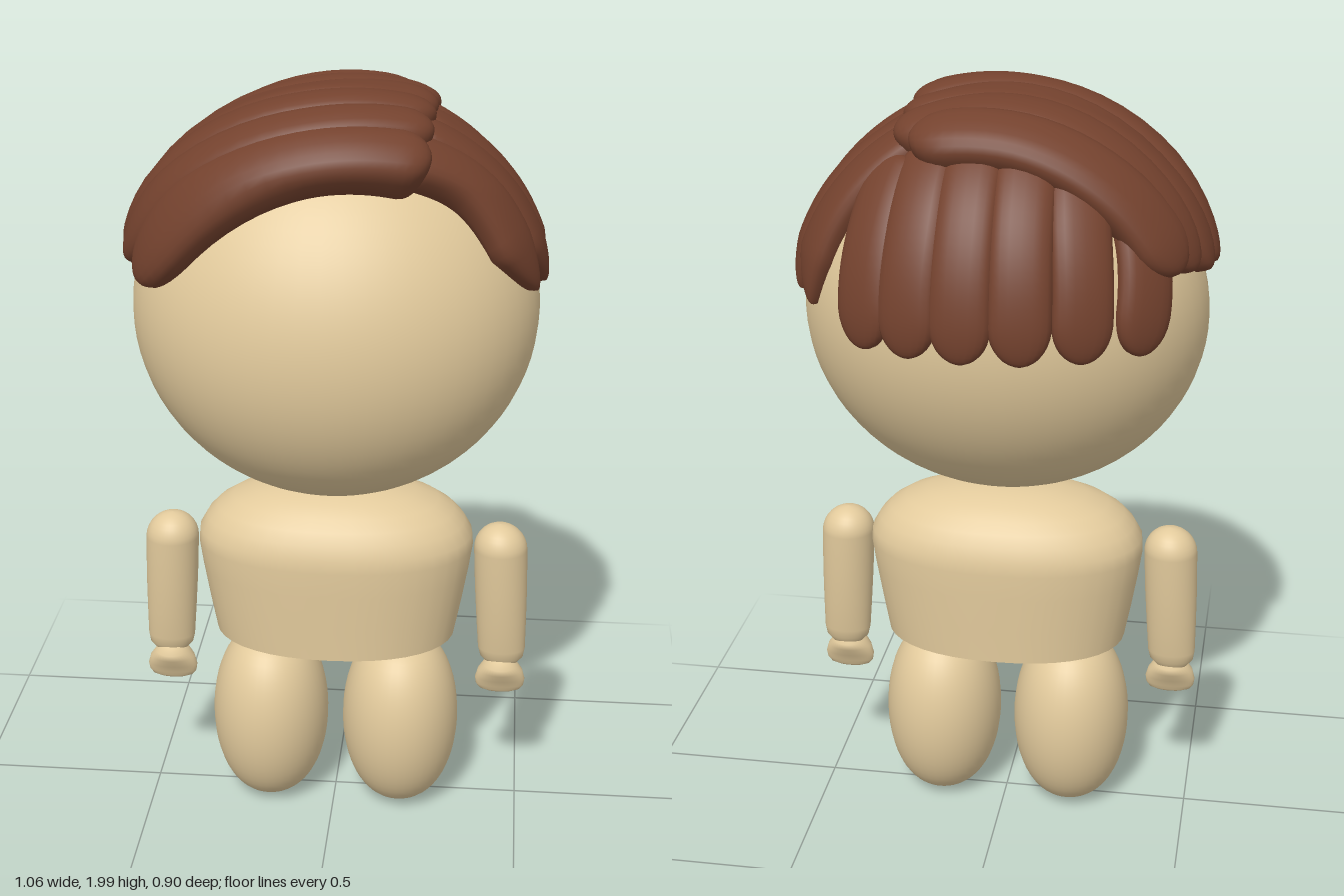
import * as THREE from 'three';

const skin = new THREE.MeshStandardMaterial({ color: 0xe2ca9c });
const brown = new THREE.MeshStandardMaterial({ color: 0x74422e });
const HEAD = { y: 1.43, rx: 0.51, ry: 0.48, rz: 0.435, lean: 0.08 };

// Closed-around surface from rows of points; point(i, angle) returns a Vector3.
function loft(rows, sides, point) {
  const pos = [], index = [];
  for (let i = 0; i < rows; i++) {
    for (let j = 0; j < sides; j++) pos.push(...point(i, (j / sides) * Math.PI * 2).toArray());
  }
  for (let i = 0; i < rows - 1; i++) {
    for (let j = 0; j < sides; j++) {
      const k = (j + 1) % sides;
      const a = i * sides + j, b = i * sides + k, c = a + sides, d = b + sides;
      index.push(a, b, c, b, d, c);
    }
  }
  const g = new THREE.BufferGeometry();
  g.setAttribute('position', new THREE.Float32BufferAttribute(pos, 3));
  g.setIndex(index);
  g.computeVertexNormals();
  return g;
}

// Body part from oval rings [y, rx, rz], listed top to bottom; pow < 1 squares the ovals.
const bend = (v, p) => Math.sign(v) * Math.abs(v) ** p;
function rings(list, pow = 1) {
  return loft(list.length, 40, (i, a) => {
    const [y, rx, rz] = list[i];
    return new THREE.Vector3(rx * bend(Math.cos(a), pow), y, rz * bend(Math.sin(a), pow));
  });
}

function add(parent, name, geometry, material, x = 0, y = 0, z = 0) {
  const m = new THREE.Mesh(geometry, material);
  m.name = name;
  m.position.set(x, y, z);
  parent.add(m);
  return m;
}

// Points on the head seen from above, from the side and from behind (head centre at origin).
const rest = (a, b) => Math.sqrt(Math.max(0.02, 1 - a * a - b * b));
const top = (x, z) => new THREE.Vector3(x, HEAD.ry * rest(x / HEAD.rx, (z + 0.035) / HEAD.rz), z + 0.035);
const side = (s, y, z) => new THREE.Vector3(
  s * HEAD.rx * rest((y - HEAD.y) / HEAD.ry, z / HEAD.rz), y - HEAD.y, z);
const back = (x, y) => new THREE.Vector3(
  x, y - HEAD.y, -HEAD.rz * rest(x / HEAD.rx, (y - HEAD.y) / HEAD.ry));

// Puffy lock of hair that follows the head through the given points.
function lock(points, { width, thick, lift, pointed = 0, skew = 0 }) {
  const curve = new THREE.CatmullRomCurve3(points);
  const onHead = (t) => {
    const p = curve.getPoint(t);
    const s = Math.hypot(p.x / HEAD.rx, p.y / HEAD.ry, p.z / HEAD.rz);
    return p.divideScalar(s);
  };
  const rows = 33, frames = [];
  for (let i = 0; i < rows; i++) {
    const t = (1 - Math.cos((Math.PI * i) / (rows - 1))) / 2;
    const p = onHead(t);
    const n = new THREE.Vector3(p.x / HEAD.rx ** 2, p.y / HEAD.ry ** 2, p.z / HEAD.rz ** 2).normalize();
    const dir = onHead(Math.min(1, t + 0.01)).sub(onHead(Math.max(0, t - 0.01))).normalize();
    const across = n.clone().cross(dir).normalize();
    const round = (u) => Math.sqrt(Math.max(0, 1 - (1 - Math.min(1, u)) ** 2));
    const start = round(t / 0.12);
    const end = pointed ? Math.min(1, (1 - t) / pointed) ** 0.75 : round((1 - t) / 0.16);
    const w = width * Math.max(0.01, start * end);
    const h = thick * Math.max(0.01, Math.sqrt(start * end)) * (1 - 0.3 * t);
    p.addScaledVector(n, lift * (1 - 0.5 * t));
    p.addScaledVector(across, skew * width * (1 - end));
    frames.push({ p, n, across, w, h });
  }
  return loft(rows, 20, (i, a) => {
    const f = frames[i];
    const depth = f.h * (Math.sin(a) < 0 ? 1.5 : 1); // thicker underneath, to reach the scalp
    const v = f.p.clone()
      .addScaledVector(f.across, f.w * bend(Math.cos(a), 0.85))
      .addScaledVector(f.n, depth * bend(Math.sin(a), 0.85));
    v.z -= HEAD.lean * v.y;
    // Hair stands up above the forehead
    v.y += 0.28 * Math.max(0, v.z) * THREE.MathUtils.clamp(v.y / 0.3, 0, 1);
    return v;
  });
}

export function createModel() {
  const model = new THREE.Group();

  // Head: an oval ball leaning slightly, chin forward
  const ball = new THREE.SphereGeometry(1, 56, 40).scale(HEAD.rx, HEAD.ry, HEAD.rz);
  ball.applyMatrix4(new THREE.Matrix4().set(1, 0, 0, 0, 0, 1, 0, 0, 0, -HEAD.lean, 1, 0, 0, 0, 0, 1));
  ball.computeVertexNormals();
  add(model, 'head', ball, skin, 0, HEAD.y, 0);

  // Torso: domed shoulders, tapered waist, flat underside
  add(model, 'torso', rings([
    [0.945, 0, 0], [0.943, 0.07, 0.04], [0.936, 0.14, 0.082], [0.92, 0.21, 0.122], [0.897, 0.27, 0.156],
    [0.87, 0.312, 0.181], [0.84, 0.34, 0.2], [0.805, 0.36, 0.213], [0.77, 0.363, 0.216],
    [0.7, 0.353, 0.215], [0.6, 0.336, 0.212], [0.515, 0.32, 0.21], [0.515, 0.32, 0.21], [0.515, 0, 0],
  ], 0.9), skin);

  for (const s of [1, -1]) {
    const sideName = s > 0 ? 'left' : 'right';

    // Leg: plump rounded pod
    const pod = [];
    for (let i = 0; i <= 28; i++) {
      const a = (i / 28) * Math.PI, r = Math.max(0, Math.sin(a)) ** 0.78;
      pod.push([0.25 + 0.247 * Math.cos(a), 0.157 * r, 0.177 * r]);
    }
    add(model, sideName + 'Leg', rings(pod), skin, s * 0.178, 0, 0.012);

    // Arm: round shoulder, leaning outward and flattening toward a narrow wrist
    const arm = [];
    for (let i = 0; i <= 8; i++) {
      const a = (i / 8) * Math.PI / 2;
      arm.push([0.765 + 0.07 * Math.cos(a), 0.07 * Math.sin(a), 0.067 * Math.sin(a)]);
    }
    arm.push([0.65, 0.069, 0.063], [0.55, 0.066, 0.054], [0.47, 0.063, 0.044],
      [0.445, 0.058, 0.038], [0.42, 0.036, 0.025], [0.4, 0, 0]);
    const armShape = rings(arm);
    armShape.applyMatrix4(new THREE.Matrix4().makeShear(0, 0, -s * 0.04, 0, 0, 0));
    add(model, sideName + 'Arm', armShape, skin, s * 0.467, 0, 0.012);

    // Hand: small flared mitten, thin at the tip
    add(model, sideName + 'Hand', rings([
      [0.445, 0, 0], [0.44, 0.03, 0.03], [0.425, 0.045, 0.05], [0.405, 0.06, 0.044], [0.38, 0.067, 0.03],
      [0.36, 0.064, 0.02], [0.347, 0.054, 0.016], [0.34, 0.035, 0.01], [0.339, 0, 0],
    ]), skin, s * 0.447, 0, 0.022);
  }

  const hair = new THREE.Group();
  hair.name = 'hair';
  hair.position.y = HEAD.y;
  model.add(hair);

  // Locks combed from the parting to the right: z at parting, middle and end, end height, half width
  const combed = [
    [0.22, 0.27, 0.2, 1.53, 0.085],
    [0.14, 0.2, 0.11, 1.55, 0.075],
    [0.05, 0.11, 0.02, 1.56, 0.075],
    [-0.05, 0.01, -0.07, 1.57, 0.075],
    [-0.15, -0.08, -0.14, 1.59, 0.085],
  ];
  combed.forEach(([z0, z1, z2, y, width], i) => add(hair, 'combedLock' + (i + 1),
    lock([top(0.22, z0), top(-0.05, z1), side(-1, y, z2)], { width, thick: 0.056, lift: 0.038 }), brown));

  // Sweeping lock over the crown
  add(hair, 'crownLock', lock(
    [top(0.18, -0.18), top(-0.08, -0.2), top(-0.3, -0.22), side(-1, 1.6, -0.19)],
    { width: 0.09, thick: 0.055, lift: 0.045 }), brown);

  // Pointed locks falling on the left of the parting
  [[0.21, 0.17], [0.11, 0.06], [0, -0.06], [-0.11, -0.165]].forEach(([z0, z1], i) => add(hair, 'leftLock' + (i + 1),
    lock([top(0.17, z0), side(1, 1.73, z1 + 0.02), side(1, 1.49, z1 - 0.02)],
      { width: 0.078, thick: 0.046, lift: 0.016, pointed: 0.22, skew: 0.6 }), brown));

  // Rounded locks down the back
  [-0.34, -0.22, -0.09, 0.04, 0.16, 0.265].forEach((x, i) => add(hair, 'backLock' + (i + 1),
    lock([top(x * 0.85, -0.17), back(x, 1.72), back(x * 1.04, 1.435)],
      { width: 0.075, thick: 0.042, lift: 0.006 }), brown));

  return model;
}
